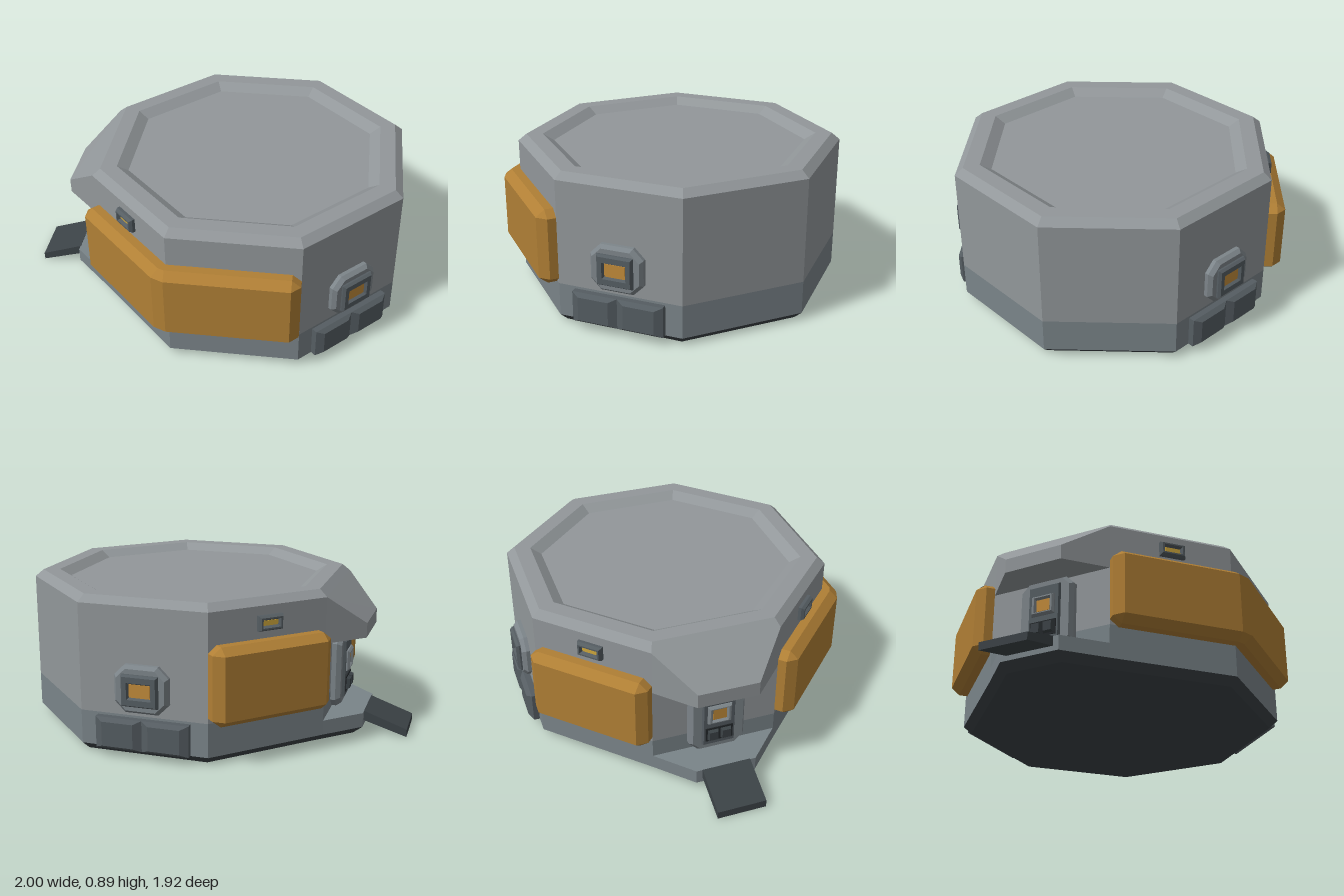
import * as THREE from 'three';

const mat = (color) => new THREE.MeshStandardMaterial({ color, flatShading: true, roughness: 0.8 });
const M = {
  hull: mat(0x92979a), lower: mat(0x7a8489), plate: mat(0x7d858a), frame: mat(0x555d62),
  dark: mat(0x3c4347), black: mat(0x24282b), orange: mat(0xb07f35), amber: mat(0xc08a3a), lamp: mat(0xd0a83c),
};

// Joins rings of equal point count into a faceted solid, always facing outwards.
function loft(rings, capStart = true, capEnd = true) {
  const tris = [], n = rings[0].length;
  for (let r = 0; r + 1 < rings.length; r++)
    for (let i = 0; i < n; i++) {
      const j = (i + 1) % n, a = rings[r], b = rings[r + 1];
      tris.push([a[i], a[j], b[j]], [a[i], b[j], b[i]]);
    }
  const last = rings[rings.length - 1];
  for (let i = 1; i + 1 < n; i++) {
    if (capStart) tris.push([rings[0][0], rings[0][i + 1], rings[0][i]]);
    if (capEnd) tris.push([last[0], last[i], last[i + 1]]);
  }
  const V = (p) => new THREE.Vector3(...p);
  const c = new THREE.Vector3();
  rings.flat().forEach((p) => c.add(V(p)));
  c.divideScalar(rings.length * n);
  let volume = 0;
  const pos = [], solid = [];
  for (const t of tris) {
    const [p, q, s] = t.map(V);
    if (q.clone().sub(p).cross(s.clone().sub(p)).length() < 1e-8) continue;
    volume += p.sub(c).dot(q.sub(c).cross(s.sub(c)));
    solid.push(t);
  }
  for (const [p, q, s] of solid) pos.push(...p, ...(volume < 0 ? [...s, ...q] : [...q, ...s]));
  const g = new THREE.BufferGeometry();
  g.setAttribute('position', new THREE.Float32BufferAttribute(pos, 3));
  g.computeVertexNormals();
  return g;
}

function add(parent, name, geometry, material) {
  const mesh = new THREE.Mesh(geometry, material);
  mesh.name = name;
  parent.add(mesh);
  return mesh;
}

// Footprint: a regular octagon, and the same with one corner built out.
const CX = 0.045, CZ = -0.08, AP = 0.885, HS = 0.366;
const octagon = [[-HS, -AP], [HS, -AP], [AP, -HS], [AP, HS], [HS, AP], [-HS, AP], [-AP, HS], [-AP, -HS]]
  .map(([x, z]) => [x + CX, z + CZ]);
const porch = [octagon[5], [-0.6, 0.81], [-0.845, 0.56], octagon[6]];
const footprint = [...octagon.slice(0, 5), ...porch, octagon[7]];
const ring = (pts, y, apothem = AP) =>
  pts.map(([x, z]) => [CX + (x - CX) * apothem / AP, y, CZ + (z - CZ) * apothem / AP]);

// Rectangle with optional cut corners, in the local plane of a wall.
function rect(w, h, z, cut = 0) {
  const a = w / 2, b = h / 2, c = cut;
  if (!c) return [[-a, -b, z], [a, -b, z], [a, b, z], [-a, b, z]];
  return [[c - a, -b, z], [a - c, -b, z], [a, c - b, z], [a, b - c, z],
    [a - c, b, z], [c - a, b, z], [-a, b - c, z], [-a, c - b, z]];
}

// Raised frame with a sloped rim and a coloured window sunk into it.
function framedWindow(parent, name, [w, h], [iw, ih], z, depth, frameMat, windowMat) {
  const g = new THREE.Group();
  g.name = name;
  g.position.z = z;
  add(g, 'frame', loft([rect(w, h, 0), rect(w, h, depth * 0.5), rect(w - 0.02, h - 0.02, depth),
    rect(iw + 0.02, ih + 0.02, depth), rect(iw, ih, depth * 0.4)]), frameMat);
  add(g, 'window', loft([rect(iw, ih, depth * 0.3), rect(iw, ih, depth * 0.5)]), windowMat);
  parent.add(g);
  return g;
}

const cutPlate = (w, h, d, cut) =>
  loft([rect(w, h, 0, cut), rect(w, h, d * 0.5, cut), rect(w - 0.035, h - 0.035, d, cut * 0.9)]);

// Group standing on a wall, with its local +z pointing outwards.
function onWall(parent, name, angle) {
  const g = new THREE.Group();
  g.name = name;
  g.position.set(CX + Math.sin(angle) * AP, 0, CZ + Math.cos(angle) * AP);
  g.rotation.y = angle;
  parent.add(g);
  return g;
}

// Chamfered armour swept along walls; each stop is [x, z, wallAngle, isEnd].
function armour(stops) {
  return loft(stops.map(([x, z, angle, end]) => {
    const d = end ? 0.05 : 0.1, lo = end ? 0.27 : 0.23, hi = end ? 0.63 : 0.67;
    return [[0, lo], [0.05, lo], [d, 0.27], [d, 0.63], [0.05, hi], [0, hi]]
      .map(([o, y]) => [x + Math.sin(angle) * o, y, z + Math.cos(angle) * o]);
  }));
}

export function createModel() {
  const model = new THREE.Group();
  model.name = 'octagonalBunker';

  // Hull: dark bevelled base, lower band, upper walls with recessed roof
  add(model, 'base', loft([ring(footprint, 0, 0.84), ring(footprint, 0.045)], true, false), M.dark);
  add(model, 'lowerWall', loft([ring(octagon, 0.045), ring(octagon, 0.24)], false, false), M.lower);
  add(model, 'upperWallAndRoof', loft([ring(octagon, 0.24), ring(octagon, 0.85), ring(octagon, 0.89, 0.84),
    ring(octagon, 0.89, 0.75), ring(octagon, 0.85, 0.69)], false, true), M.hull);

  // Entrance porch: floor ledge, sloped canopy and ramp
  add(model, 'porchFloor', loft([ring(porch, 0.045), ring(porch, 0.13)]), M.lower);
  const eave = [porch[0], porch[0], porch[3], porch[3]];
  add(model, 'canopy', loft([ring(porch, 0.585), ring(porch, 0.67), ring(eave, 0.85)]), M.hull);
  add(model, 'ramp', loft([
    [[-1, 0, 0.76], [-0.8, 0, 0.96], [-0.8, 0.045, 0.96], [-1, 0.045, 0.76]],
    [[-0.82, 0.075, 0.585], [-0.62, 0.075, 0.785], [-0.62, 0.132, 0.785], [-0.82, 0.132, 0.585]],
  ]), M.dark);

  // Door under the canopy
  const door = onWall(model, 'door', -Math.PI / 4);
  door.position.y = 0.357;
  add(door, 'doorPlate', cutPlate(0.33, 0.44, 0.055, 0.05), M.plate);
  add(door, 'doorLeaf', loft([rect(0.2, 0.35, 0.05), rect(0.18, 0.33, 0.07)]), M.frame);
  framedWindow(door, 'doorWindow', [0.14, 0.12], [0.08, 0.07], 0.065, 0.025, M.plate, M.amber).position.y = 0.045;
  add(door, 'doorPanel', loft([rect(0.16, 0.09, 0.06), rect(0.16, 0.09, 0.075)]), M.black).position.y = -0.095;
  for (const s of [-1, 1])
    add(door, 'doorButton', loft([rect(0.065, 0.07, 0.07), rect(0.05, 0.055, 0.095)]), M.dark)
      .position.set(s * 0.038, -0.095, 0);

  // Armour: one wraps a corner, one covers the opposite side wall
  const [front, left, right] = [0, Math.PI / 2, -Math.PI / 2], diag = Math.PI / 4;
  const [f0, f1, f2] = [octagon[5], octagon[4], octagon[3]];
  add(model, 'wrapArmour', armour([
    [f0[0], f0[1], front, true], [f0[0] + 0.05, f0[1], front], [f1[0], f1[1], front],
    [f1[0], f1[1], diag], [f2[0] - 0.035, f2[1] + 0.035, diag], [f2[0], f2[1], diag, true],
  ]), M.orange);
  const [s0, s1] = [octagon[6], octagon[7]];
  add(model, 'sideArmour', armour([
    [s0[0], s0[1], right, true], [s0[0], s0[1] - 0.05, right],
    [s1[0], s1[1] + 0.05, right], [s1[0], s1[1], right, true],
  ]), M.orange);

  // Small lamps above the armour
  for (const angle of [front, right]) {
    const lampMount = onWall(model, 'lampMount', angle);
    lampMount.position.y = 0.757;
    framedWindow(lampMount, 'lamp', [0.15, 0.085], [0.09, 0.028], 0, 0.035, M.frame, M.lamp);
  }

  // Ports with twin cushions below them
  for (const angle of [left, -3 * Math.PI / 4]) {
    const port = onWall(model, 'port', angle);
    add(port, 'portPlate', cutPlate(0.31, 0.27, 0.045, 0.06), M.plate).position.y = 0.4;
    framedWindow(port, 'portWindow', [0.21, 0.18], [0.12, 0.075], 0.04, 0.03, M.frame, M.amber).position.y = 0.4;
    for (const s of [-1, 1])
      add(port, 'cushion', loft([rect(0.268, 0.18, 0), rect(0.268, 0.18, 0.035), rect(0.18, 0.14, 0.06)]), M.frame)
        .position.set(s * 0.134, 0.137, 0);
  }
  return model;
}
